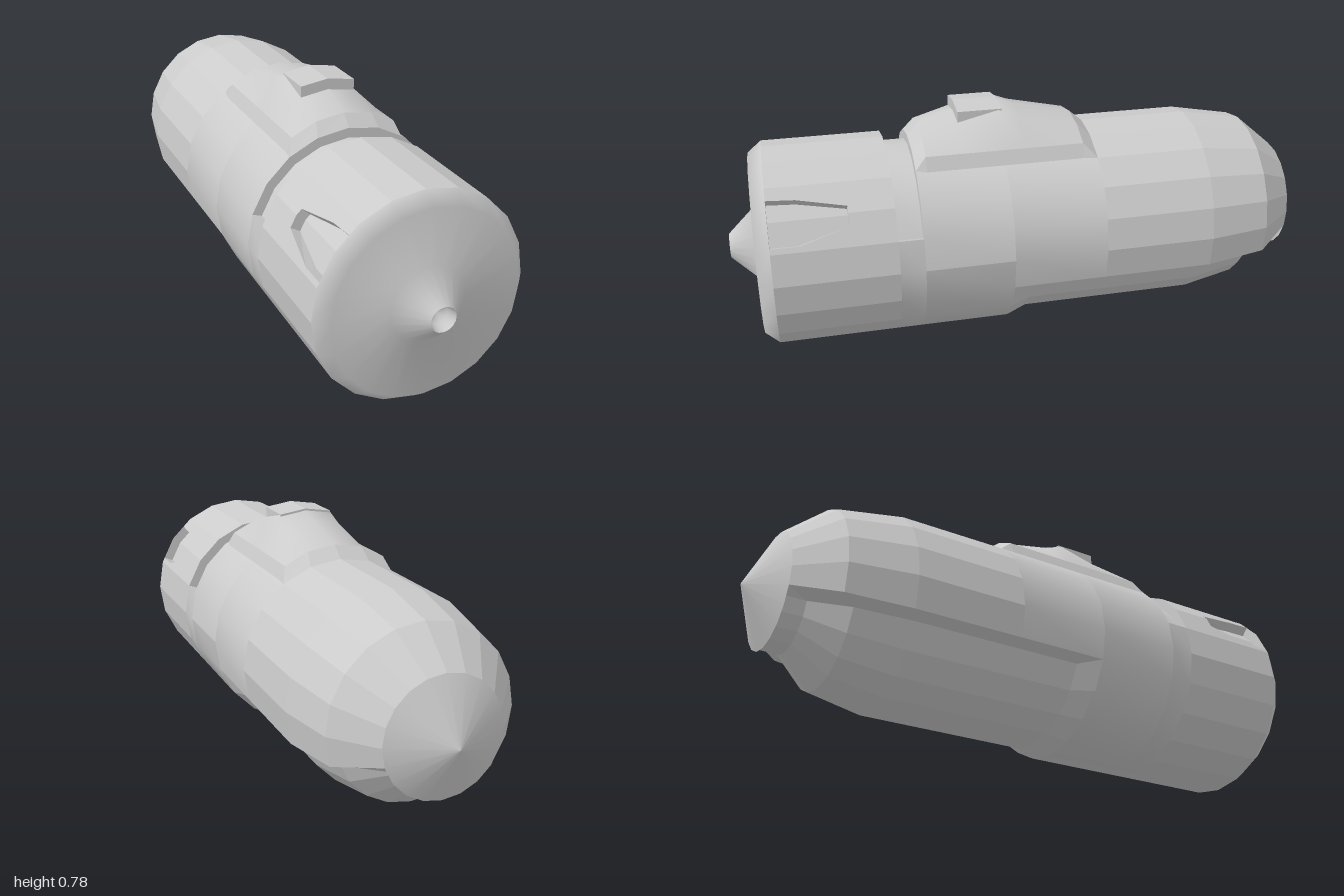
import * as THREE from 'three';

const CY = 0.34, R = 0.337, STEP = 18;
const rad = THREE.MathUtils.degToRad;
const flat = new THREE.MeshStandardMaterial({ color: 0xcccccc, flatShading: true, side: THREE.DoubleSide });
const smooth = new THREE.MeshStandardMaterial({ color: 0xcccccc, side: THREE.DoubleSide });

// Point on a 20-sided hull section: angle in degrees, corner radius, z, lowering of the centre
function hullPoint(angle, r, z, drop = 0) {
  const local = ((angle % STEP) + STEP) % STEP;
  const k = r * Math.cos(rad(9)) / Math.cos(rad(local - 9));
  return [k * Math.cos(rad(angle)), CY - drop + k * Math.sin(rad(angle)), z];
}

function arc(from, to, r, z, drop) {
  const row = [];
  for (let a = from; a <= to; a += STEP) row.push(hullPoint(a, r, z, drop));
  return row;
}

// Column k of a profile (z in column 0, descending) at a given z
function profileAt(profile, z, k) {
  const i = Math.max(1, profile.findIndex(p => p[0] <= z + 1e-6));
  const a = profile[i - 1], b = profile[i];
  return a[k] + (b[k] - a[k]) * (a[0] - z) / (a[0] - b[0]);
}

const mirrorRows = rows => rows.map(row => row.map(([x, y, z]) => [-x, y, z]).reverse());

export function createModel() {
  const model = new THREE.Group();

  function add(name, geometry, material = flat) {
    const mesh = new THREE.Mesh(geometry, material);
    mesh.name = name;
    model.add(mesh);
  }

  // Skin rows of equal length
  function loft(name, rows, material = flat) {
    const n = rows[0].length, index = [];
    for (let j = 0; j < rows.length - 1; j++) {
      for (let i = 0; i < n - 1; i++) {
        const a = j * n + i, b = a + 1, c = a + n, d = c + 1;
        index.push(a, c, b, b, c, d);
      }
    }
    const g = new THREE.BufferGeometry();
    g.setAttribute('position', new THREE.Float32BufferAttribute(rows.flat(2), 3));
    g.setIndex(index);
    g.computeVertexNormals();
    add(name, g, material);
  }

  function loftPair(name, rows) {
    loft(name + 'Left', rows);
    loft(name + 'Right', mirrorRows(rows));
  }

  const skin = (name, profile, from, to, material) =>
    loft(name, profile.map(([z, r, drop]) => arc(from, to, r, z, drop)), material);

  const lathe = (name, points) => add(name,
    new THREE.LatheGeometry(points.map(p => new THREE.Vector2(...p)), 20)
      .rotateX(Math.PI / 2).translate(0, CY, 0), smooth);

  // Front face with central nozzle, and pointed rear cap
  lathe('frontFace', [[R, 0.87], [0.30, 0.915], [0.12, 0.915], [0.04, 1.0]]);
  lathe('nozzleHole', [[0.04, 1.0], [0.032, 0.965], [0, 0.955]]);
  lathe('rearCap', [[0, -1], [0.19, -0.91]]);

  // Front barrel, left open where the side pockets sit
  skin('frontBarrelTop', [[0.87, R], [0.48, R]], 54, 126);
  skin('frontBarrelBottom', [[0.87, R], [0.48, R]], 162, 378);
  const pocket = [[0.87, 21, 47], [0.78, 21, 46], [0.625, 29, 40]];
  const floorR = R - 0.035;
  loftPair('pocketLowerMargin', pocket.map(([z, lo]) =>
    [hullPoint(18, R, z), hullPoint(lo, R, z)]));
  loftPair('pocketUpperMargin', pocket.map(([z, , hi]) =>
    [hullPoint(hi, R, z), hullPoint(54, R, z)]));
  loftPair('pocketRearMargin', [0.625, 0.48].map(z =>
    [18, 29, 36, 40, 54].map(a => hullPoint(a, R, z))));
  loftPair('pocketFloor', pocket.map(([z, lo, hi]) =>
    [lo, 36, hi].map(a => hullPoint(a, floorR, z))));
  loftPair('pocketLowerWall', pocket.map(([z, lo]) =>
    [hullPoint(lo, R, z), hullPoint(lo, floorR, z)]));
  loftPair('pocketUpperWall', pocket.map(([z, , hi]) =>
    [hullPoint(hi, floorR, z), hullPoint(hi, R, z)]));
  for (const [z, lo, hi] of [pocket[0], pocket[2]]) {
    loftPair('pocketEndWall', [R, floorR].map(r => [lo, 36, hi].map(a => hullPoint(a, r, z))));
  }

  // Groove around the upper hull
  const grooveR = 0.305;
  skin('grooveFloor', [[0.48, grooveR], [0.40, grooveR]], 18, 162, smooth);
  skin('grooveUnderside', [[0.48, R], [0.40, R]], 162, 378, smooth);
  for (const z of [0.48, 0.40]) skin('grooveWall', [[z, R], [z, grooveR]], 18, 162);
  loftPair('grooveEnd', [0.48, 0.40].map(z => [hullPoint(18, R, z), hullPoint(18, grooveR, z)]));

  // Middle hull and tapered rear
  skin('middleHull', [[0.40, R], [0.11, R]], 0, 360, smooth);
  skin('middleHullTop', [[0.11, R], [-0.20, R]], -18, 198, smooth);
  const rear = [[-0.20, R], [-0.57, R], [-0.78, 0.30], [-0.91, 0.19]];
  skin('rearHull', rear, -18, 198);

  // Recessed belly panel: smaller section with a lowered centre, and its side walls
  const belly = [[0.11, R, 0], [0.04, 0.285, 0.03], [-0.55, 0.285, 0.03], [-0.73, 0.25, 0.03],
    [-0.84, 0.155, 0.03], [-0.91, 0.155, 0.03]];
  skin('bellyPanel', belly, 198, 342);
  skin('bellyRearLip', [[-0.91, 0.155, 0.03], [-0.91, 0.19, 0]], 198, 342);
  const outer = [[0.11, R], ...rear];
  const stations = [0.11, 0.04, -0.55, -0.57, -0.73, -0.78, -0.84, -0.91];
  loftPair('bellyWall', stations.map(z => [
    hullPoint(-18, profileAt(belly, z, 1), z, profileAt(belly, z, 2)),
    hullPoint(-18, profileAt(outer, z, 1), z),
  ]));

  // Raised hump: half sections [x, y] from base to centre line
  const crown = top => [[0.195, 0.612], [0.175, 0.66], [0.095, top - 0.015], [0, top]];
  const sunk = [[0.198, 0.612], [0.185, 0.619], [0.104, 0.66], [0, 0.677]];
  const hump = [
    [0.40, sunk], [0.365, crown(0.715)], [0.24, crown(0.752)], [0.11, crown(0.783)],
    [0.04, crown(0.757)], [-0.155, crown(0.715)], [-0.20, sunk],
  ].map(([z, half]) => [
    ...half.map(([x, y]) => [x, y, z]),
    ...half.slice(0, 3).reverse().map(([x, y]) => [-x, y, z]),
  ]);
  loft('humpFrontSlope', hump.slice(0, 2));
  loft('humpTop', hump.slice(1, 6).map(row => row.slice(1, 6)), smooth);
  loftPair('humpSide', hump.slice(1, 6).map(row => row.slice(0, 2)));
  loft('humpRearSlope', hump.slice(5));

  // Ridged block on the hump
  const block = new THREE.Shape([[-0.092, 0.735], [0.092, 0.735], [0.092, 0.772], [0, 0.786], [-0.092, 0.772]]
    .map(p => new THREE.Vector2(...p)));
  add('humpBlock', new THREE.ExtrudeGeometry(block, { depth: 0.145, bevelEnabled: false }).translate(0, 0, 0.1));

  return model;
}
